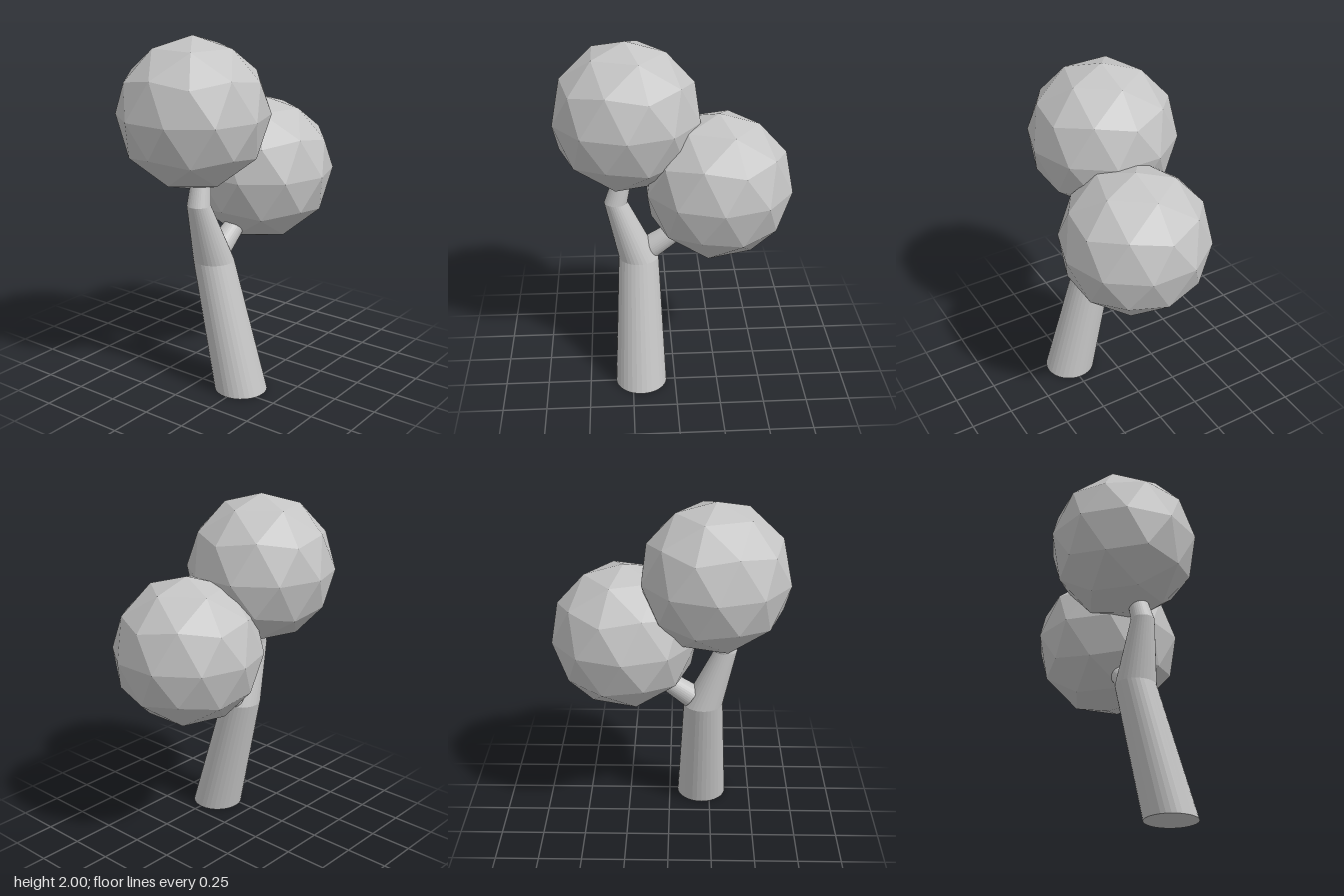
import * as THREE from 'three';

const grey = new THREE.MeshStandardMaterial({ color: 0xc4c4c4 });
grey.name = 'light grey';

// Gives every face its own normal
function faceted(geometry) {
  const flat = geometry.index ? geometry.toNonIndexed() : geometry;
  flat.computeVertexNormals();
  return flat;
}

function addPart(group, name, geometry) {
  const mesh = new THREE.Mesh(faceted(geometry), grey);
  mesh.name = name;
  group.add(mesh);
  return mesh;
}

// Capped tube through level rings, each [x, y, z, radius], from bottom to top
function leveledLimb(rings) {
  const steps = rings.length - 1;
  const geometry = new THREE.CylinderGeometry(1, 1, 1, 32, steps);
  const p = geometry.attributes.position;
  for (let i = 0; i < p.count; i++) {
    const [x, y, z, r] = rings[Math.round((p.getY(i) + 0.5) * steps)];
    p.setXYZ(i, x + p.getX(i) * r, y, z + p.getZ(i) * r);
  }
  return geometry;
}

// Straight tapered cylinder between two points
function straightLimb(from, to, r0, r1) {
  const axis = to.clone().sub(from);
  const geometry = new THREE.CylinderGeometry(r1, r0, axis.length(), 32);
  const turn = new THREE.Quaternion().setFromUnitVectors(
    new THREE.Vector3(0, 1, 0), axis.clone().normalize());
  const middle = from.clone().add(to).multiplyScalar(0.5);
  return geometry.applyQuaternion(turn).translate(middle.x, middle.y, middle.z);
}

export function createModel() {
  const tree = new THREE.Group();
  tree.name = 'tree';

  // Leaning trunk that narrows and bends into the upper crown
  addPart(tree, 'trunk', leveledLimb([
    [-0.2, 0, 0.24, 0.15],
    [-0.2, 0.74, 0.047, 0.116],
    [-0.325, 1.088, 0.042, 0.066],
    [-0.265, 1.3, 0.02, 0.048],
  ]));

  // Side branch holding the lower crown
  addPart(tree, 'branch', straightLimb(
    new THREE.Vector3(-0.13, 0.79, 0.035),
    new THREE.Vector3(0.1, 0.95, 0.04), 0.07, 0.05));

  // Faceted crowns with one corner pointing straight up
  const crowns = [
    ['upperCrown', -0.255, 1.575, -0.046],
    ['lowerCrown', 0.255, 1.187, 0.045],
  ];
  const tilt = Math.atan(2 / (1 + Math.sqrt(5)));
  for (const [name, x, y, z] of crowns) {
    const ball = new THREE.IcosahedronGeometry(0.425, 1).rotateZ(-tilt);
    addPart(tree, name, ball).position.set(x, y, z);
  }
  return tree;
}
